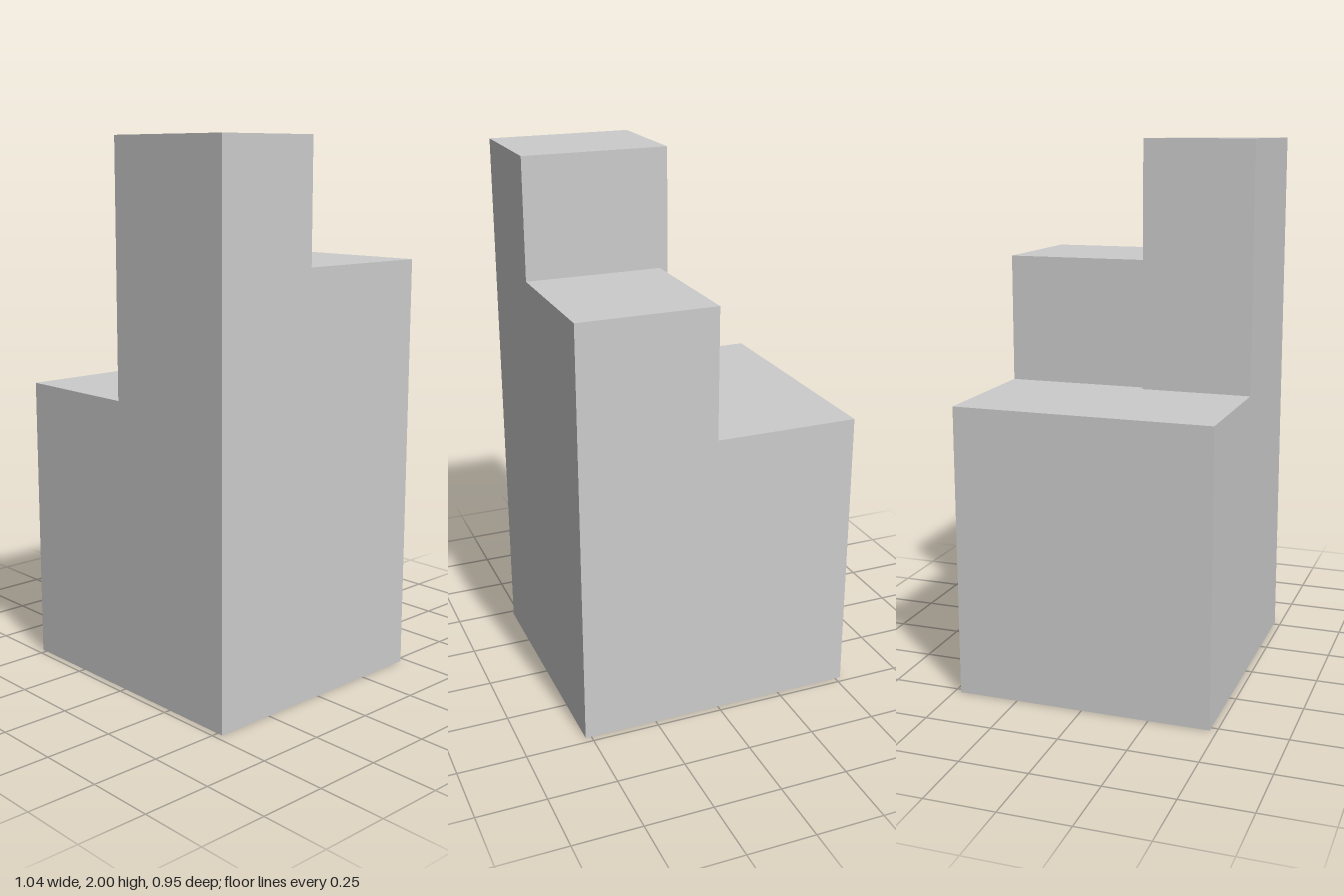
import * as THREE from 'three';

const HALF_W = 0.522, HALF_D = 0.475; // footprint
const BASE_TOP = 1.08;
const SPLIT_Z = 0.062; // where the front tower meets the rear block

export function createModel() {
  const group = new THREE.Group();
  const material = new THREE.MeshStandardMaterial({ color: 0xcccccc, flatShading: true });

  // Box given by its extents along each axis
  const block = (name, [x0, x1], [y0, y1], [z0, z1]) => {
    const mesh = new THREE.Mesh(new THREE.BoxGeometry(x1 - x0, y1 - y0, z1 - z0), material);
    mesh.position.set((x0 + x1) / 2, (y0 + y1) / 2, (z0 + z1) / 2);
    mesh.name = name;
    group.add(mesh);
  };

  // Wide lower mass
  block('base', [-HALF_W, HALF_W], [0, BASE_TOP], [-HALF_D, HALF_D]);
  // Tall tower at the front left corner
  block('frontTower', [-0.016, HALF_W], [BASE_TOP, 2], [SPLIT_Z, HALF_D]);
  // Mid-height block behind it, slightly narrower
  block('rearBlock', [0.014, HALF_W], [BASE_TOP, 1.56], [-HALF_D, SPLIT_Z]);

  return group;
}
